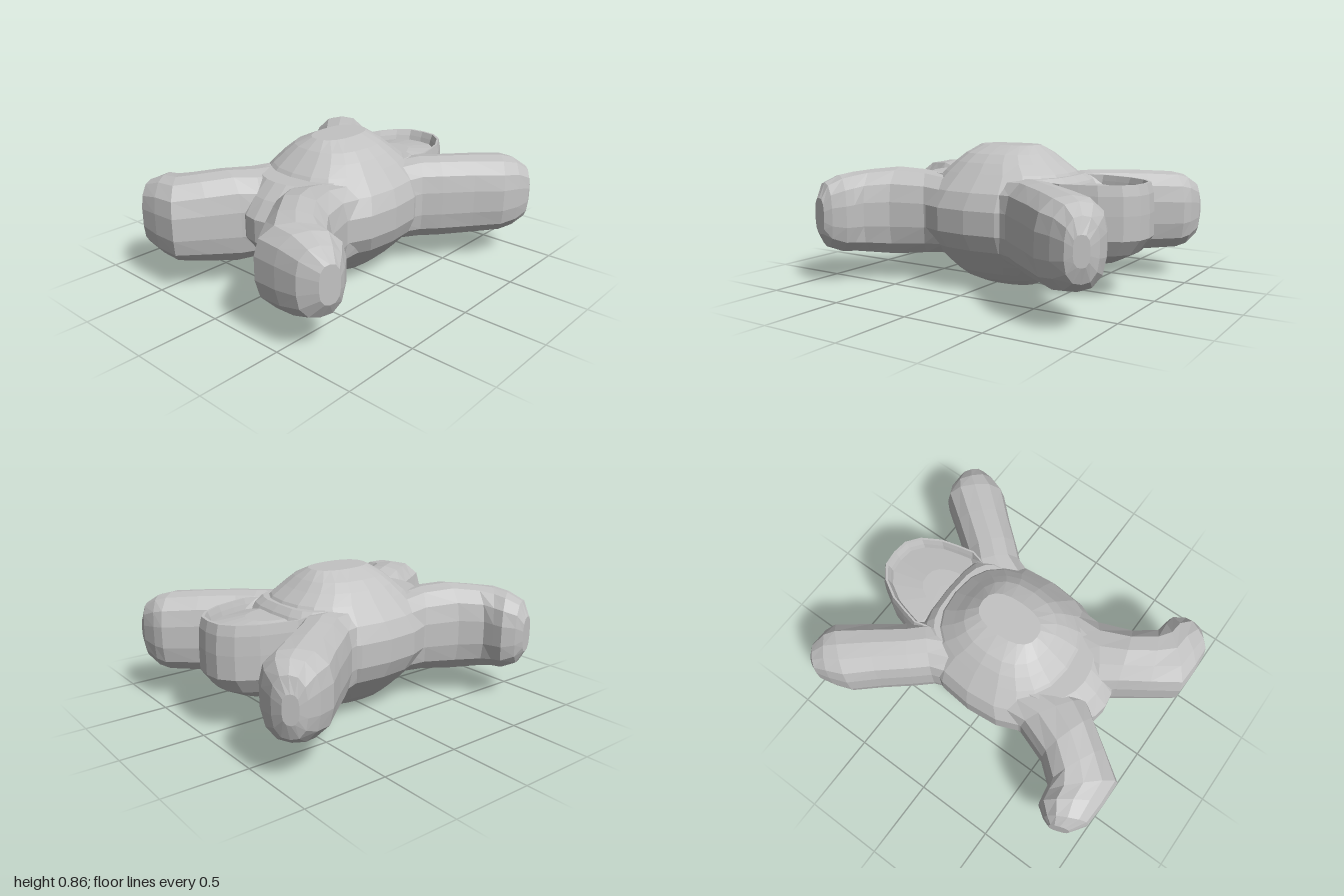
import * as THREE from 'three';

const MID = 0.43; // height of the figure's horizontal symmetry plane

// Closed skin over a list of equal-length rings, capped at both ends, facing outward
function loft(rings) {
  const n = rings[0].length;
  const pos = rings.flat().flatMap((p) => [p.x, p.y, p.z]);
  const idx = [];
  for (let r = 0; r < rings.length - 1; r++) {
    for (let i = 0; i < n; i++) {
      const j = (i + 1) % n;
      const a = r * n + i, b = r * n + j, c = a + n, d = b + n;
      idx.push(a, b, c, b, d, c);
    }
  }
  const cap = (r, flip) => {
    const c = new THREE.Vector3();
    rings[r].forEach((p) => c.addScaledVector(p, 1 / n));
    const k = pos.length / 3;
    pos.push(c.x, c.y, c.z);
    for (let i = 0; i < n; i++) {
      const a = r * n + i, b = r * n + ((i + 1) % n);
      if (flip) idx.push(k, b, a);
      else idx.push(k, a, b);
    }
  };
  cap(0, true);
  cap(rings.length - 1, false);

  // Turn the faces outward by the sign of the enclosed volume
  const v = (i) => new THREE.Vector3().fromArray(pos, i * 3);
  let volume = 0;
  for (let i = 0; i < idx.length; i += 3) {
    volume += v(idx[i]).dot(v(idx[i + 1]).cross(v(idx[i + 2])));
  }
  if (volume < 0) idx.reverse();

  const g = new THREE.BufferGeometry();
  g.setAttribute('position', new THREE.Float32BufferAttribute(pos, 3));
  g.setIndex(idx);
  g.computeVertexNormals();
  return g;
}

// Horizontal rounded ring: height, half width, back z, front z
function ovalRing([y, rx, zBack, zFront], power) {
  const soft = (t) => Math.sign(t) * Math.abs(t) ** power;
  return Array.from({ length: 20 }, (_, i) => {
    const a = (i / 20) * Math.PI * 2;
    return new THREE.Vector3(
      rx * soft(Math.cos(a)), y,
      (zBack + zFront) / 2 + ((zFront - zBack) / 2) * soft(Math.sin(a)));
  });
}

// Rings given by distance from the middle plane, repeated below and above it
function bothHalves(rows) {
  return [
    ...rows.map(([d, ...r]) => [MID - d, ...r]),
    ...[...rows].reverse().map(([d, ...r]) => [MID + d, ...r]),
  ];
}

// Upright limb section between an inner and an outer point, with a half height
const QUARTER = [[1, 0.28], [0.88, 0.68], [0.5, 0.96]];
const mirrorU = QUARTER.map(([u, v]) => [-u, v]).reverse();
const upper = [...QUARTER, [0, 1.02], ...mirrorU];
const SECTION = [...upper, ...upper.map(([u, v]) => [-u, -v])];
function limbRing([x0, z0, x1, z1, h], side) {
  return SECTION.map(([u, v]) => new THREE.Vector3(
    side * ((x0 + x1) / 2 + (u * (x1 - x0)) / 2),
    MID + v * h,
    (z0 + z1) / 2 + (u * (z1 - z0)) / 2));
}

export function createModel() {
  const group = new THREE.Group();
  const grey = new THREE.MeshStandardMaterial({ color: 0xc2c2c2, flatShading: true });
  grey.name = 'grey';
  const add = (name, rings) => {
    const mesh = new THREE.Mesh(loft(rings), grey);
    mesh.name = name;
    group.add(mesh);
  };
  const addRound = (name, rows, power) =>
    add(name, bothHalves(rows).map((r) => ovalRing(r, power)));

  // Round belly and back, flat at the very top and bottom
  addRound('body', [
    [0.43, 0.12, -0.23, 0.16],
    [0.38, 0.235, -0.30, 0.24],
    [0.33, 0.295, -0.36, 0.30],
    [0.27, 0.35, -0.44, 0.37],
    [0.17, 0.44, -0.51, 0.45],
    [0.07, 0.48, -0.54, 0.52],
  ], 0.82);

  // Shoulders, joining the arms and the head
  addRound('shoulders', [
    [0.255, 0.30, -0.47, -0.10],
    [0.22, 0.35, -0.51, -0.08],
    [0.17, 0.38, -0.54, -0.06],
    [0.07, 0.41, -0.56, -0.06],
  ], 0.7);

  // Pelvis between the legs, running out to a blunt tip
  addRound('pelvis', [
    [0.25, 0.26, 0.08, 0.51],
    [0.17, 0.28, 0.08, 0.60],
    [0.07, 0.28, 0.08, 0.68],
  ], 1);

  // Head with a thin raised rim around a shallow sunken face
  const side = [[0.27, -0.38], [0.31, -0.54], [0.285, -0.65], [0.255, -0.76], [0.185, -0.88], [0.1, -0.945], [0, -0.957]];
  const outline = [...side, ...side.slice(0, -1).map(([x, z]) => [-x, z]).reverse()];
  const headRings = [
    [0.18, 0.35], [0.205, 0.62], [0.27, 0.87], [0.36, 1], [0.5, 1], [0.61, 0.985],
    [0.67, 0.955], [0.67, 0.92], [0.635, 0.89], [0.605, 0.87], [0.635, 0.45],
  ];
  add('head', headRings.map(([y, s]) => outline.map(
    ([x, z]) => new THREE.Vector3(x * s, y, -0.45 + (z + 0.45) * s))));

  // Limb sections: inner x, z, outer x, z, half height
  const arm = [
    [0.10, -0.36, 0.40, -0.10, 0.24],
    [0.22, -0.52, 0.465, -0.29, 0.255],
    [0.30, -0.60, 0.55, -0.385, 0.255],
    [0.44, -0.79, 0.68, -0.54, 0.25],
    [0.56, -0.96, 0.81, -0.68, 0.24],
    [0.62, -0.985, 0.85, -0.79, 0.22],
    [0.73, -1.0, 0.87, -0.88, 0.165],
    [0.80, -0.985, 0.855, -0.92, 0.08],
  ];
  const leg = [
    [0.02, 0.42, 0.42, 0.18, 0.24],
    [0.05, 0.58, 0.405, 0.34, 0.26],
    [0.12, 0.67, 0.48, 0.55, 0.275],
    [0.23, 0.83, 0.58, 0.67, 0.26],
    [0.345, 0.995, 0.645, 0.68, 0.245],
    [0.50, 1.0, 0.705, 0.69, 0.235],
    [0.64, 0.99, 0.755, 0.76, 0.195],
    [0.735, 0.925, 0.775, 0.81, 0.11],
  ];
  for (const [label, s] of [['left', 1], ['right', -1]]) {
    add(label + 'Arm', arm.map((r) => limbRing(r, s)));
    add(label + 'Leg', leg.map((r) => limbRing(r, s)));
  }
  return group;
}
